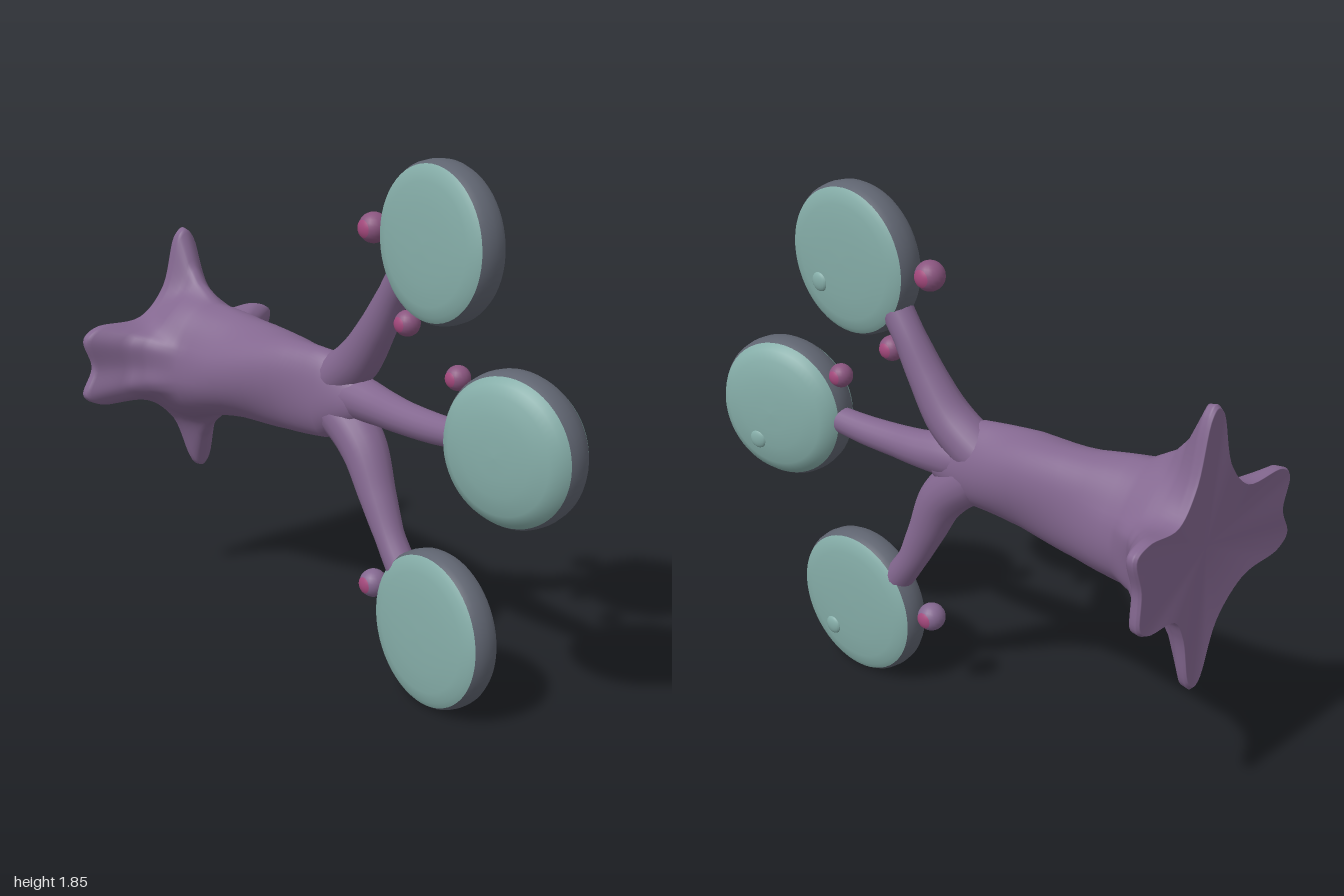
import * as THREE from 'three';

const mat = (name, color) => {
  const m = new THREE.MeshStandardMaterial({ color });
  m.name = name;
  return m;
};
const V = (x, y, z) => new THREE.Vector3(x, y, z);

// Star-shaped outline of the root base (x, y), counter-clockwise
const STAR = [
  [.38, .93], [.41, 1.05], [.35, 1.08], [.2, 1.08], [.12, 1.18], [.06, 1.39], [.03, 1.42], [0, 1.4],
  [-.06, 1.2], [-.16, 1.1], [-.36, 1.09], [-.41, 1.05], [-.38, .94], [-.42, .84], [-.37, .8], [-.16, .78],
  [-.03, .68], [.05, .49], [.08, .47], [.11, .5], [.15, .68], [.2, .76], [.34, .77], [.38, .8],
];

// Trunk sections: z, centre x, centre y, radius x, radius y, blend towards the star
const SECTIONS = [
  [.09, .11, .98, .03, .04, 0], [.04, .1, .98, .07, .09, 0], [-.1, .075, .97, .095, .155, 0],
  [-.3, .055, .975, .12, .17, 0], [-.55, .035, .96, .155, .185, 0], [-.75, .025, .95, .185, .21, .02],
  [-.85, .02, .95, .2, .23, .22], [-.9, .02, .95, .2, .23, .46], [-.935, .02, .95, .2, .23, .76],
  [-.96, .02, .95, .2, .23, .98], [-.985, .02, .95, .2, .23, 1], [-.997, .02, .95, .2, .23, .95],
];

// Loft from a round front end to the flared star base
function trunkGeometry() {
  const n = 160, sub = 4;
  const star = new THREE.CatmullRomCurve3(STAR.map(([x, y]) => V(x, y, 0)), true, 'centripetal')
    .getPoints(n).slice(0, n);
  const pos = [], idx = [];
  const rings = (SECTIONS.length - 1) * sub + 1;
  for (let i = 0; i < rings; i++) {
    const k = Math.min(Math.floor(i / sub), SECTIONS.length - 2), f = i / sub - k;
    const [z, cx, cy, rx, ry, t] = SECTIONS[k].map((v, q) => v + (SECTIONS[k + 1][q] - v) * f);
    for (const p of star) {
      const a = Math.atan2(p.y - .95, p.x - .02);
      // ridges twisting along the bark
      const w = 1 + .05 * Math.sin(3 * a + 9 * z + 3.1) * (1 - t);
      const ex = cx + rx * w * Math.cos(a), ey = cy + ry * w * Math.sin(a);
      pos.push(ex + (p.x - ex) * t, ey + (p.y - ey) * t, z);
    }
  }
  for (let i = 0; i < rings - 1; i++) for (let j = 0; j < n; j++) {
    const j2 = (j + 1) % n, a = i * n + j, b = i * n + j2;
    idx.push(a, a + n, b, b, a + n, b + n);
  }
  // end caps, the back one slightly hollow
  const front = pos.length / 3, back = front + 1, last = (rings - 1) * n;
  pos.push(.11, .98, .095, .02, .95, -.975);
  for (let j = 0; j < n; j++) {
    const j2 = (j + 1) % n;
    idx.push(front, j, j2, back, last + j2, last + j);
  }
  const g = new THREE.BufferGeometry();
  g.setAttribute('position', new THREE.Float32BufferAttribute(pos, 3));
  g.setIndex(idx);
  g.computeVertexNormals();
  return g;
}

// Tapered tube: each point is [x, y, z, radius]
function branchGeometry(points) {
  const n = 32, sides = 18;
  const curve = new THREE.CatmullRomCurve3(points.map(p => V(p[0], p[1], p[2])));
  const g = new THREE.TubeGeometry(curve, n, 1, sides);
  const pos = g.attributes.position, v = V(0, 0, 0);
  for (let i = 0; i <= n; i++) {
    const c = curve.getPointAt(i / n);
    const s = curve.getUtoTmapping(i / n) * (points.length - 1), k = Math.min(Math.floor(s), points.length - 2);
    const r = THREE.MathUtils.lerp(points[k][3], points[k + 1][3], s - k);
    for (let j = 0; j <= sides; j++) {
      const q = i * (sides + 1) + j;
      v.fromBufferAttribute(pos, q).sub(c).multiplyScalar(r).add(c);
      pos.setXYZ(q, v.x, v.y, v.z);
    }
  }
  return g;
}

export function createModel() {
  const bark = mat('bark purple', 0x83678f);
  const leaf = mat('leaf teal', 0x85ada8);
  const rim = mat('rim slate', 0x5f6470);
  const berry = mat('berry mauve', 0x8a557f);
  const pink = mat('berry pink', 0xa3487c);

  const model = new THREE.Group();
  const add = (parent, name, geo, material, x = 0, y = 0, z = 0) => {
    const m = new THREE.Mesh(geo, material);
    m.name = name;
    m.position.set(x, y, z);
    parent.add(m);
    return m;
  };

  add(model, 'trunk', trunkGeometry(), bark);

  // Branches, rooted inside the trunk
  add(model, 'upperBranch', branchGeometry([
    [.07, .95, -.22, .05], [.09, 1.04, -.08, .085], [.1, 1.12, .02, .08], [.105, 1.24, .11, .066],
    [.11, 1.37, .19, .055], [.11, 1.46, .25, .055],
  ]), bark);
  add(model, 'middleBranch', branchGeometry([
    [.07, .98, -.22, .05], [.1, .985, 0, .08], [.11, .975, .13, .066], [.11, .97, .25, .058],
    [.115, .97, .4, .052], [.12, .98, .56, .045],
  ]), bark);
  add(model, 'lowerBranch', branchGeometry([
    [.07, 1, -.22, .05], [.09, .92, -.07, .09], [.1, .82, .045, .083], [.1, .66, .13, .065],
    [.1, .53, .2, .052], [.1, .42, .28, .055],
  ]), bark);

  // Disc leaves: domed faces either side of a rounded slate rim
  const lathe = (pts) => new THREE.LatheGeometry(pts.map(p => new THREE.Vector2(p[0], p[1])), 56);
  const discs = [ // name, centre, radius, half rim width, half thickness, yaw, lean, bud y and z
    ['upperLeaf', .112, 1.59, .427, .265, .047, .077, 0, -.03, -.09, .11],
    ['middleLeaf', .155, .982, .753, .258, .046, .112, .21, 0, -.11, .065],
    ['lowerLeaf', .095, .28, .452, .275, .045, .075, 0, -.03, -.12, .1],
  ];
  for (const [name, x, y, z, r, w, h, yaw, lean, by, bz] of discs) {
    const g = new THREE.Group();
    g.name = name;
    g.position.set(x, y, z);
    g.rotation.set(0, yaw, lean);
    const flip = pts => pts.map(([a, b]) => [a, -b]).reverse();
    const edge = [[r, 0], [r * .988, w * .6], [r * .95, w]];
    const dome = [[.95, 0], [.88, .4], [.75, .7], [.5, .9], [.25, .98], [0, 1]]
      .map(([a, b]) => [a * r, w + b * (h - w)]);
    const faces = [
      ['rim', [...flip(edge).slice(0, 2), ...edge], rim],
      ['rightFace', flip(dome), leaf],
      ['leftFace', dome, leaf],
    ];
    for (const [part, pts, m] of faces) add(g, part, lathe(pts), m).rotation.z = -Math.PI / 2;
    // small raised bud on the left face
    add(g, 'bud', new THREE.SphereGeometry(.034, 16, 12), leaf, w + .85 * (h - w), by, bz).scale.x = .4;
    model.add(g);
  }

  // Berries with a pink spot on either side
  const berries = [
    [.09, 1.59, .11, .052, berry], [.1, 1.3, .28, .044, berry],
    [.14, 1.157, .492, .042, berry], [.1, .33, .11, .05, bark],
  ];
  for (const [x, y, z, r, skin] of berries) {
    const g = new THREE.Group();
    g.name = 'berry';
    g.position.set(x, y, z);
    add(g, 'skin', new THREE.SphereGeometry(r, 20, 14), skin);
    for (const s of [-1, 1]) {
      const cap = new THREE.SphereGeometry(r * 1.03, 20, 6, 0, Math.PI * 2, 0, .6);
      add(g, 'spot', cap, pink).rotation.z = -s * Math.PI / 2;
    }
    model.add(g);
  }
  return model;
}
